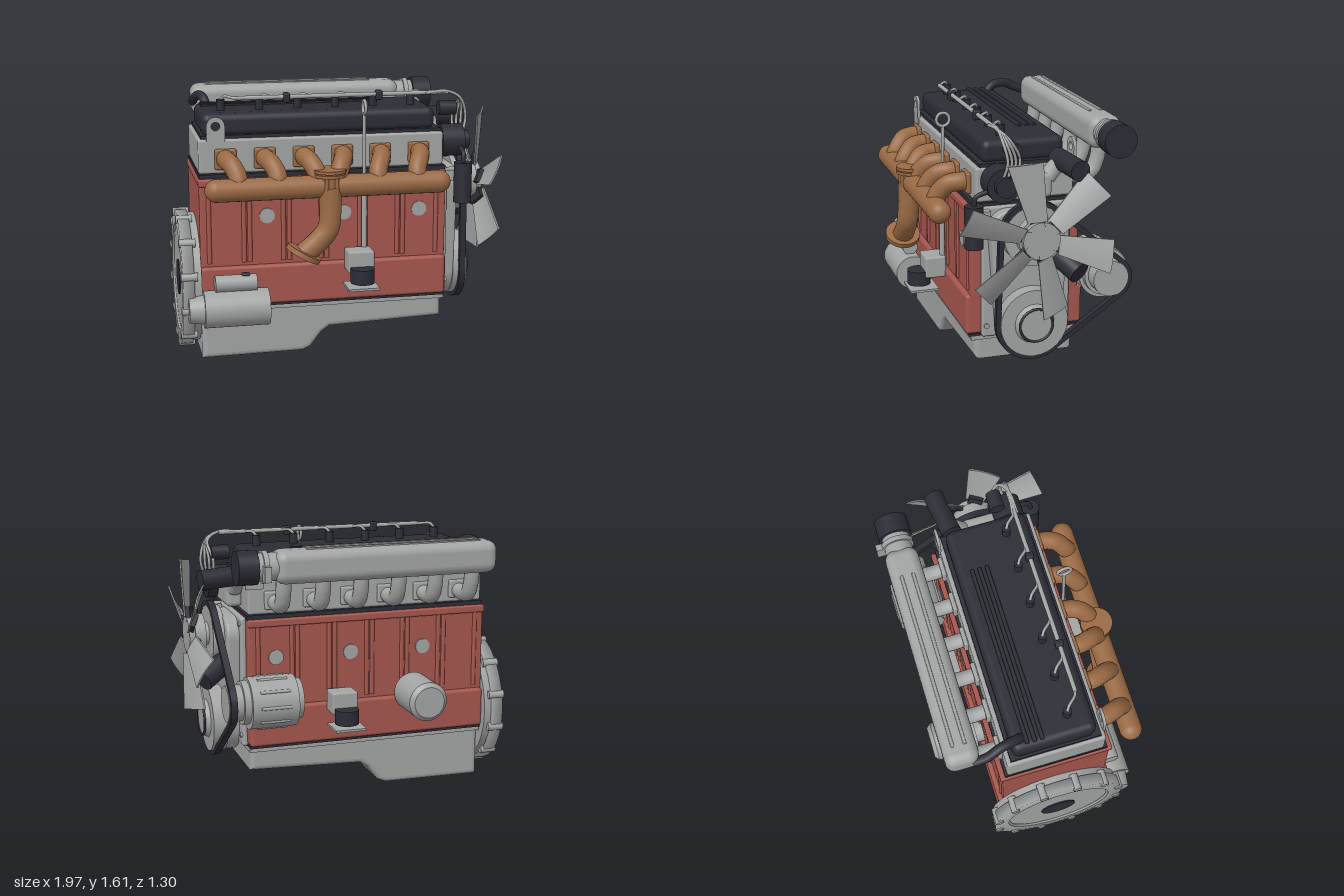
import * as THREE from 'three';
import { RoundedBoxGeometry } from 'three/addons/geometries/RoundedBoxGeometry.js';

const V = (x, y, z) => new THREE.Vector3(x, y, z);

export function createModel() {
  const root = new THREE.Group();
  root.name = 'engine';
  const material = (name, color) => {
    const m = new THREE.MeshStandardMaterial({ color });
    m.name = name;
    return m;
  };
  const gray = material('cast metal gray', 0xa3a4a4);
  const red = material('block red', 0xa5564d);
  const brown = material('manifold brown', 0x9a6a44);
  const dark = material('dark rubber', 0x2c2c36);

  const CZ = 0.02; // centre plane of the block
  const add = (name, geo, mat) => {
    const m = new THREE.Mesh(geo, mat);
    m.name = name;
    root.add(m);
    return m;
  };
  // box given by its limits, optionally with rounded edges
  const box = (name, mat, x0, x1, y0, y1, z0, z1, r = 0) => {
    const s = [x1 - x0, y1 - y0, z1 - z0];
    const g = r ? new RoundedBoxGeometry(...s, 3, r) : new THREE.BoxGeometry(...s);
    g.translate((x0 + x1) / 2, (y0 + y1) / 2, (z0 + z1) / 2);
    return add(name, g, mat);
  };
  // cylinder between two points
  const cyl = (name, mat, a, b, r, r2 = r) => {
    const g = new THREE.CylinderGeometry(r2, r, a.distanceTo(b), 32);
    const m = add(name, g, mat);
    m.position.copy(a).lerp(b, 0.5);
    m.quaternion.setFromUnitVectors(V(0, 1, 0), b.clone().sub(a).normalize());
    return m;
  };
  const cylX = (name, mat, x0, x1, y, z, r, r2) => cyl(name, mat, V(x0, y, z), V(x1, y, z), r, r2);
  const tube = (name, mat, r, pts) =>
    add(name, new THREE.TubeGeometry(new THREE.CatmullRomCurve3(pts, false, 'centripetal'), 28, r, 14), mat);
  // outline wrapped round circles [z, y, r]; the shape's first axis is -z
  const wrap = (circles, grow = 0) => Array.from({ length: 96 }, (_, i) => {
    const a = (i / 96) * Math.PI * 2, c = Math.cos(a), s = Math.sin(a);
    const reach = ([z, y, r]) => -z * c + y * s + r;
    const [z, y, r] = circles.reduce((p, q) => (reach(q) > reach(p) ? q : p));
    return new THREE.Vector2(-z + (r + grow) * c, y + (r + grow) * s);
  });
  const extrudeX = (name, mat, shape, x0, x1, bevel = 0) => {
    const g = new THREE.ExtrudeGeometry(shape, {
      depth: x1 - x0 - bevel * 2, bevelEnabled: bevel > 0, bevelSize: bevel,
      bevelThickness: bevel, bevelOffset: -bevel, bevelSegments: 3,
    });
    g.rotateY(Math.PI / 2).translate(x0 + bevel, 0, 0);
    return add(name, g, mat);
  };

  // Oil pan: side profile swept across the engine
  const pan = new THREE.Shape([[-0.86, 0], [-0.24, 0.008], [-0.19, 0.03], [-0.12, 0.12], [-0.07, 0.155],
    [0.64, 0.18], [0.64, 0.33], [-0.86, 0.33]].map(p => new THREE.Vector2(...p)));
  const panGeo = new THREE.ExtrudeGeometry(pan, { depth: 0.55, bevelSize: 0.03, bevelThickness: 0.03, bevelOffset: -0.03, bevelSegments: 4 });
  add('oilPan', panGeo.translate(0, 0, CZ - 0.275), gray);
  box('panFlange', gray, -0.86, 0.65, 0.305, 0.33, -0.31, 0.35);
  box('panGasket', dark, -0.86, 0.65, 0.33, 0.345, -0.32, 0.36);

  // Block, gaskets, head and valve cover
  box('crankcase', red, -0.865, 0.65, 0.345, 0.59, -0.34, 0.38, 0.02);
  box('cylinderBlock', red, -0.865, 0.65, 0.57, 1.125, -0.31, 0.35, 0.01);
  box('blockDeck', red, -0.87, 0.65, 1.08, 1.125, -0.325, 0.365, 0.01);
  box('headGasket', dark, -0.86, 0.65, 1.12, 1.15, -0.295, 0.335);
  box('cylinderHead', gray, -0.86, 0.64, 1.15, 1.355, -0.28, 0.315, 0.015);
  box('coverGasket', dark, -0.84, 0.63, 1.35, 1.375, -0.255, 0.29);
  box('valveCover', dark, -0.83, 0.6, 1.36, 1.5, -0.235, 0.265, 0.045);
  for (const z of [-0.145, -0.1, -0.055]) box('coverRib', dark, -0.8, 0.31, 1.49, 1.512, z - 0.012, z + 0.012, 0.005);
  for (const s of [1, -1]) {
    const side = d => CZ + s * d;
    for (const x of [-0.81, -0.6, -0.565, -0.36, -0.325, -0.13, -0.095, 0.11, 0.145, 0.345, 0.38, 0.59])
      cyl('blockRib', red, V(x, 0.61, side(0.328)), V(x, 1.1, side(0.328)), 0.014);
    for (const x of [-0.46, 0.01, 0.48])
      cyl('corePlug', gray, V(x, 0.89, side(0.31)), V(x, 0.89, side(0.338)), 0.046);
    // engine mounts
    const zs = (a, b) => [Math.min(side(a), side(b)), Math.max(side(a), side(b))];
    box('mountBracket', gray, 0.01, 0.17, 0.54, 0.675, ...zs(0.35, 0.48), 0.012);
    cyl('mountRubber', dark, V(0.09, 0.49, side(0.505)), V(0.09, 0.58, side(0.505)), 0.072);
    box('mountPlate', gray, -0.01, 0.18, 0.458, 0.472, ...zs(0.4, 0.58));
  }

  // Exhaust manifold with six bent runners
  const ports = [-0.7, -0.465, -0.23, 0.005, 0.24, 0.48];
  const log = add('exhaustLog', new THREE.CapsuleGeometry(0.068, 1.34, 10, 24), brown);
  log.rotation.z = Math.PI / 2;
  log.position.set(-0.11, 1.09, 0.51);
  for (const x of ports) {
    const end = x + (x < -0.11 ? 0.05 : -0.05);
    box('exhaustFlange', brown, x - 0.065, x + 0.065, 1.175, 1.3, 0.31, 0.34, 0.012);
    tube('exhaustRunner', brown, 0.056, [V(x, 1.24, 0.31), V(x, 1.24, 0.37), V(x + (end - x) * 0.4, 1.225, 0.43), V(end, 1.16, 0.485), V(end, 1.09, 0.51)]);
    // intake runners on the other side
    box('intakeFlange', gray, x - 0.06, x + 0.06, 1.18, 1.29, -0.305, -0.27, 0.01);
    tube('intakeRunner', gray, 0.046, [V(x, 1.23, -0.27), V(x, 1.22, -0.38), V(x, 1.24, -0.45), V(x, 1.31, -0.485), V(x, 1.43, -0.5)]);
    // injectors and their feed pipes
    cyl('injector', dark, V(x, 1.48, 0.12), V(x, 1.565, 0.12), 0.025);
    tube('injectorPipe', gray, 0.009, [V(x, 1.56, 0.12), V(x + 0.02, 1.585, 0.135), V(x + 0.07, 1.58, 0.185), V(x + 0.1, 1.58, 0.195)]);
  }
  for (const y of [1.15, 1.175]) cyl('outletFlange', brown, V(-0.11, y, 0.51), V(-0.11, y + 0.018, 0.51), 0.098);
  cyl('outletNeck', brown, V(-0.11, 1.06, 0.51), V(-0.11, 1.16, 0.51), 0.07);
  for (const x of [-0.14, -0.08]) cyl('outletStud', brown, V(x, 1.02, 0.577), V(x, 1.18, 0.577), 0.012);
  tube('downpipe', brown, 0.066, [V(-0.11, 1.09, 0.53), V(-0.11, 0.94, 0.535), V(-0.125, 0.84, 0.54), V(-0.18, 0.77, 0.54), V(-0.27, 0.695, 0.54)]);
  cyl('downpipeFlange', brown, V(-0.265, 0.71, 0.54), V(-0.28, 0.682, 0.54), 0.11);

  // Intake plenum
  box('plenum', gray, -0.82, 0.55, 1.38, 1.575, -0.62, -0.42, 0.06);
  for (const z of [-0.555, -0.485]) box('plenumRib', gray, -0.72, 0.36, 1.565, 1.583, z - 0.01, z + 0.01, 0.005);
  cylX('plenumNeck', gray, 0.5, 0.67, 1.48, -0.52, 0.082);
  cylX('neckClamp', gray, 0.59, 0.62, 1.48, -0.52, 0.095);
  box('clampBolt', gray, 0.59, 0.63, 1.41, 1.5, -0.65, -0.59);
  cylX('intakeHose', dark, 0.65, 0.77, 1.48, -0.52, 0.1);
  tube('breatherHose', dark, 0.028, [V(-0.75, 1.48, -0.16), V(-0.77, 1.53, -0.22), V(-0.79, 1.535, -0.3), V(-0.81, 1.5, -0.38), V(-0.81, 1.47, -0.46)]);

  // Fuel rail with clips and lines falling at the front
  cylX('fuelRail', gray, -0.61, 0.7, 1.58, 0.195, 0.013);
  for (const x of [-0.31, 0.26]) box('railClip', dark, x - 0.02, x + 0.02, 1.545, 1.605, 0.17, 0.22, 0.01);
  for (let i = 0; i < 4; i++)
    tube('fuelLine', gray, 0.009, [V(0.55, 1.58, 0.18 + i * 0.01), V(0.7, 1.585, 0.2), V(0.78, 1.54, 0.2 - i * 0.015),
      V(0.82 - i * 0.02, 1.42, 0.18 - i * 0.03), V(0.77, 1.26, 0.22 - i * 0.03)]);

  // Flywheel housing with rim lugs
  cylX('housing', gray, -0.94, -0.865, 0.445, CZ, 0.4);
  add('housingRim', new THREE.LatheGeometry([[0.33, -0.98], [0.42, -0.98], [0.42, -0.91], [0.33, -0.91], [0.33, -0.98]]
    .map(p => new THREE.Vector2(...p)), 64).rotateZ(-Math.PI / 2).translate(0, 0.445, CZ), gray).material.side = THREE.DoubleSide;
  cylX('flywheel', gray, -0.968, -0.92, 0.445, CZ, 0.32);
  cylX('flywheelCentre', dark, -0.975, -0.96, 0.445, CZ, 0.11);
  for (let i = 0; i < 12; i++) {
    const a = ((i + 0.5) / 12) * Math.PI * 2;
    cylX('housingLug', gray, -0.99, -0.89, 0.445 + 0.405 * Math.sin(a), CZ + 0.405 * Math.cos(a), 0.026);
  }

  // Starter motor and oil filter
  cylX('starter', gray, -0.86, -0.47, 0.35, 0.43, 0.112);
  cylX('starterNose', gray, -0.95, -0.85, 0.35, 0.43, 0.075, 0.09);
  cylX('starterSolenoid', gray, -0.79, -0.54, 0.505, 0.43, 0.05);
  box('starterTerminal', dark, -0.63, -0.58, 0.54, 0.565, 0.41, 0.45, 0.01);
  cyl('filterBase', gray, V(-0.38, 0.62, -0.29), V(-0.38, 0.62, -0.38), 0.08);
  cyl('oilFilter', gray, V(-0.38, 0.62, -0.36), V(-0.38, 0.62, -0.62), 0.12);
  cyl('filterCap', gray, V(-0.38, 0.62, -0.62), V(-0.38, 0.62, -0.645), 0.12, 0.095);

  // Timing cover, pulleys and belt
  const crank = [CZ, 0.45, 0.21], pump = [CZ, 0.98, 0.19], alt = [-0.45, 0.67, 0.12];
  box('frontPlate', gray, 0.64, 0.68, 0.33, 1.13, -0.25, 0.29, 0.015);
  extrudeX('timingCover', gray, new THREE.Shape(wrap([[CZ, 0.45, 0.2], [0.14, 1.0, 0.12], [-0.1, 1.0, 0.12]])), 0.67, 0.755, 0.015);
  for (const [z, y] of [[0.265, 0.4], [-0.23, 0.4], [-0.225, 1.09], [0.265, 1.09]]) cylX('coverBolt', gray, 0.67, 0.69, y, z, 0.016);
  const belt = new THREE.Shape(wrap([crank, pump, alt], 0.02));
  belt.holes.push(new THREE.Path(wrap([crank, pump, alt], -0.01).reverse()));
  extrudeX('belt', dark, belt, 0.785, 0.825);
  cylX('crankPulley', gray, 0.75, 0.84, 0.45, CZ, 0.205);
  cylX('crankHub', gray, 0.83, 0.875, 0.45, CZ, 0.125, 0.1);
  const seal = add('crankSeal', new THREE.TorusGeometry(0.1, 0.008, 8, 40).rotateY(Math.PI / 2), dark);
  seal.position.set(0.874, 0.45, CZ);
  cylX('pumpPulley', gray, 0.75, 0.825, 0.98, CZ, 0.18);
  cylX('alternator', gray, 0.42, 0.7, 0.665, -0.46, 0.155);
  for (const [a, b, r] of [[0.38, 0.43, 0.12], [0.69, 0.74, 0.13], [0.74, 0.83, 0.108]]) cylX('alternatorEnd', gray, a, b, 0.67, -0.455, r);
  for (let i = 0; i < 10; i++) {
    const a = (i / 10) * Math.PI * 2;
    cylX('alternatorFin', gray, 0.47, 0.65, 0.665 + 0.152 * Math.sin(a), -0.46 + 0.152 * Math.cos(a), 0.01);
  }
  box('alternatorBracket', gray, 0.5, 0.62, 0.6, 0.68, -0.36, -0.28);

  // Fan: six pitched, tapered blades on a dark spider
  cylX('fanShaft', gray, 0.8, 0.87, 0.99, CZ, 0.07);
  cylX('fanClutch', gray, 0.855, 0.92, 0.99, CZ, 0.125);
  cylX('fanHub', gray, 0.91, 0.955, 0.99, CZ, 0.11);
  const fan = new THREE.Group();
  fan.name = 'fan';
  fan.position.set(0.945, 0.99, CZ);
  fan.rotation.y = Math.PI / 2;
  root.add(fan);
  const blade = new THREE.BoxGeometry(1, 0.345, 0.01, 6, 6, 1).translate(0, 0.285, 0);
  const p = blade.attributes.position;
  for (let i = 0; i < p.count; i++) {
    const t = (p.getY(i) - 0.11) / 0.345, u = p.getX(i) * (0.1 + 0.08 * t);
    p.setXYZ(i, u, p.getY(i), p.getZ(i) + u * 0.5 - u * u * 1.5);
  }
  blade.computeVertexNormals();
  const arm = new THREE.BoxGeometry(0.09, 0.09, 0.025).rotateY(-0.45).translate(0, 0.125, -0.02);
  for (let i = 0; i < 6; i++)
    for (const [name, g, m] of [['fanBlade', blade, gray], ['fanArm', arm, dark]]) {
      const b = new THREE.Mesh(g, m);
      b.name = name;
      b.rotation.z = ((12 + i * 60) * Math.PI) / 180;
      fan.add(b);
    }

  // Coolant outlet, hoses and front accessories
  box('coolantOutlet', gray, 0.63, 0.73, 1.17, 1.32, -0.12, 0.2, 0.03);
  tube('outletElbow', gray, 0.05, [V(0.68, 1.28, -0.1), V(0.68, 1.34, -0.15), V(0.7, 1.37, -0.19)]);
  cyl('upperHose', dark, V(0.63, 1.38, -0.18), V(0.91, 1.365, -0.22), 0.06);
  cyl('lowerHose', dark, V(0.74, 0.85, -0.13), V(0.91, 0.76, -0.225), 0.068);
  cylX('fuelPump', dark, 0.65, 0.79, 1.28, 0.19, 0.1);
  cylX('pumpCap', dark, 0.79, 0.83, 1.28, 0.19, 0.06);
  cylX('sensorBody', dark, 0.66, 0.77, 1.47, 0.12, 0.045);
  cyl('fuelCanister', dark, V(0.755, 0.92, 0.36), V(0.755, 1.17, 0.36), 0.055);
  box('canisterBracket', gray, 0.64, 0.73, 1.05, 1.12, 0.25, 0.35);
  tube('canisterHose', dark, 0.014, [V(0.755, 1.16, 0.36), V(0.76, 1.22, 0.35), V(0.76, 1.25, 0.27), V(0.76, 1.28, 0.2)]);

  // Dipstick and lifting eyes
  cyl('dipstickTube', gray, V(0.13, 0.66, 0.385), V(0.13, 1.1, 0.38), 0.016);
  cyl('dipstick', gray, V(0.13, 1.05, 0.38), V(0.13, 1.49, 0.37), 0.01);
  add('dipstickRing', new THREE.TorusGeometry(0.04, 0.01, 10, 28).rotateY(Math.PI / 2).translate(0.13, 1.53, 0.37), gray);
  for (const [x, z] of [[-0.755, 0.305], [0.6, -0.29]]) {
    const eye = new THREE.Shape().moveTo(-0.055, -0.13).lineTo(0.055, -0.13).lineTo(0.055, 0).absarc(0, 0, 0.055, 0, Math.PI);
    eye.holes.push(new THREE.Path().absarc(0, 0, 0.026, 0, Math.PI * 2, true));
    add('liftingEye', new THREE.ExtrudeGeometry(eye, { depth: 0.018, bevelEnabled: false }).translate(x, 1.435, z), gray);
  }
  return root;
}
